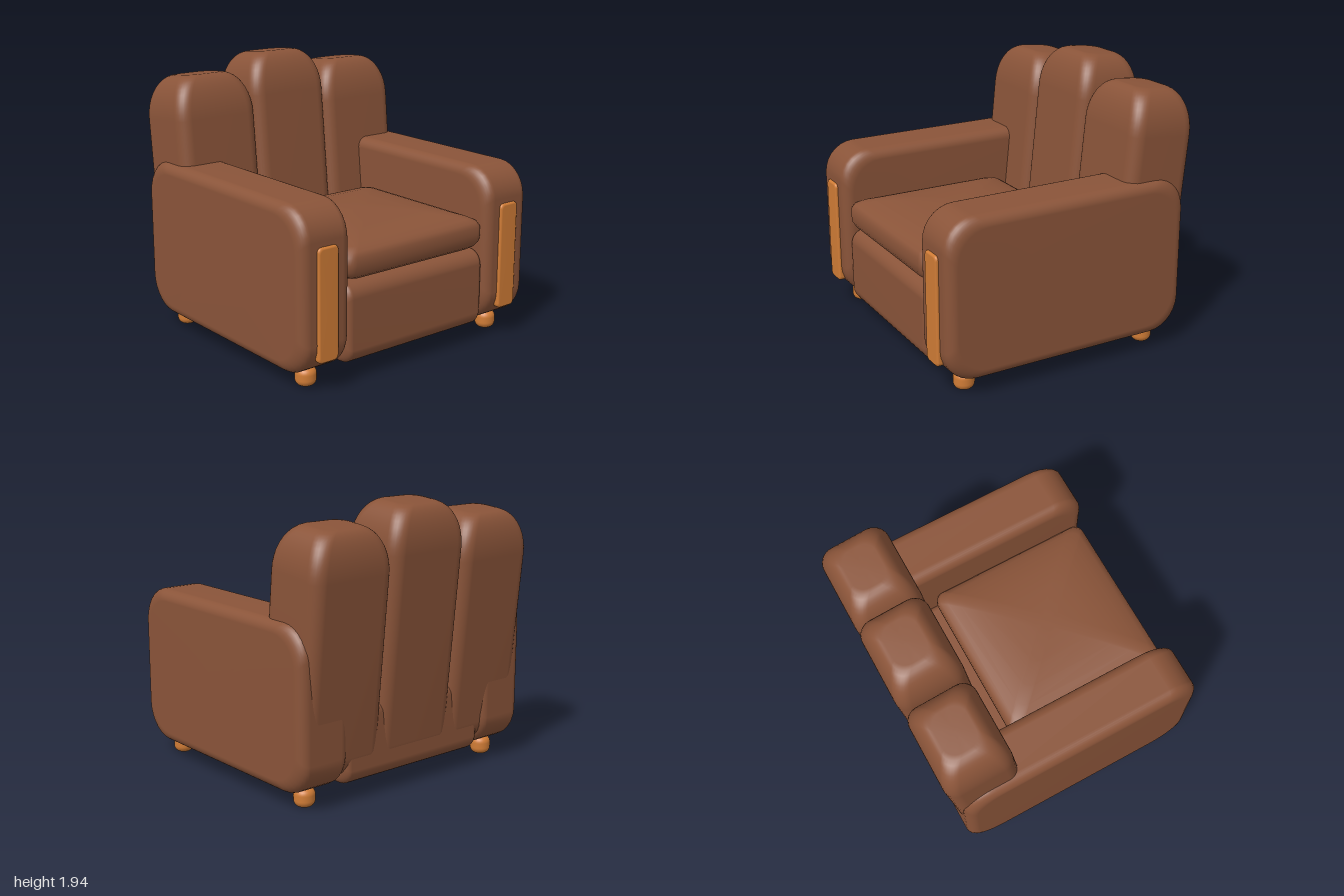
import * as THREE from 'three';

// Stack of rounded rectangles along y. Each section is [y, insetX, insetZ].
function softBlock(width, depth, corner, sections) {
  const steps = 7, ring = 4 * (steps + 1), pos = [], index = [];
  for (const [y, ix, iz] of sections) {
    const hx = width / 2 - ix, hz = depth / 2 - iz;
    const r = Math.min(corner, hx, hz);
    for (let q = 0; q < 4; q++) {
      const sx = q === 0 || q === 3 ? 1 : -1, sz = q < 2 ? 1 : -1;
      for (let s = 0; s <= steps; s++) {
        const a = (q + s / steps) * Math.PI / 2;
        pos.push(sx * (hx - r) + r * Math.cos(a), y, sz * (hz - r) + r * Math.sin(a));
      }
    }
  }
  const last = sections.length - 1, low = sections.length * ring, high = low + 1;
  pos.push(0, sections[0][0], 0, 0, sections[last][0], 0);
  for (let i = 0; i < ring; i++) {
    const j = (i + 1) % ring;
    for (let k = 0; k < last; k++) {
      const a = k * ring + i, b = k * ring + j;
      index.push(a, a + ring, b, b, a + ring, b + ring);
    }
    index.push(low, i, j, high, last * ring + j, last * ring + i);
  }
  const g = new THREE.BufferGeometry();
  g.setAttribute('position', new THREE.Float32BufferAttribute(pos, 3));
  g.setIndex(index);
  g.computeVertexNormals();
  return g;
}

// Sections with elliptical rounding at both ends; each end is [height, insetX, insetZ].
function roundedEnds(h, bottom, top, n = 8) {
  const out = [];
  for (let i = 0; i <= n; i++) {
    const a = (i / n) * Math.PI / 2, k = 1 - Math.sin(a);
    out.push([bottom[0] * (1 - Math.cos(a)), bottom[1] * k, bottom[2] * k]);
  }
  for (let i = n; i >= 0; i--) {
    const a = (i / n) * Math.PI / 2, k = 1 - Math.sin(a);
    out.push([h - top[0] * (1 - Math.cos(a)), top[1] * k, top[2] * k]);
  }
  return out;
}

export function createModel() {
  const model = new THREE.Group();
  const leather = new THREE.MeshStandardMaterial({ color: 0x8a5439 });
  leather.name = 'brown leather';
  const wood = new THREE.MeshStandardMaterial({ color: 0xd07c36 });
  wood.name = 'orange wood';

  const add = (name, geometry, material, x, y, z) => {
    const mesh = new THREE.Mesh(geometry, material);
    mesh.name = name;
    mesh.position.set(x, y, z);
    model.add(mesh);
    return mesh;
  };

  // Base under the seat, lofted sideways
  const baseEnd = [0.05, 0.05, 0.05];
  const base = softBlock(0.55, 1.76, 0.1, roundedEnds(1.22, baseEnd, baseEnd));
  base.rotateZ(-Math.PI / 2);
  add('base', base, leather, -0.61, 0.39, 0.04);

  // Crowned seat cushion
  const seat = softBlock(1.21, 1.23, 0.07, [
    [0.66, 0.17, 0.17], [0.664, 0.11, 0.11], [0.68, 0.06, 0.06], [0.705, 0.025, 0.025],
    [0.74, 0.005, 0.005], [0.79, 0, 0], [0.84, 0.003, 0.003], [0.872, 0.02, 0.02],
    [0.895, 0.06, 0.06], [0.918, 0.13, 0.13], [0.938, 0.23, 0.23], [0.951, 0.36, 0.36],
    [0.957, 0.52, 0.52],
  ]);
  add('seatCushion', seat, leather, 0, 0, 0.31);

  // Three leaning back cushions
  for (const [name, x, h] of [['backCushionRight', -0.63, 1.625],
    ['backCushionCentre', 0, 1.735], ['backCushionLeft', 0.63, 1.625]]) {
    const g = softBlock(0.64, 0.5, 0.09,
      roundedEnds(h, [0.14, 0.1, 0.1], [0.3, 0.17, 0.13], 10));
    add(name, g, leather, x, 0.2, -0.58).rotation.x = -0.097;
  }

  // Arms, lofted sideways
  const armEnd = [0.075, 0.075, 0.075];
  const arm = softBlock(1.115, 1.82, 0.22, roundedEnds(0.4, armEnd, armEnd));
  arm.rotateZ(-Math.PI / 2);
  arm.translate(-0.2, 0, 0);

  // Wooden strip on the arm front
  const strip = softBlock(0.16, 0.76, 0.03,
    roundedEnds(0.05, [0.01, 0.005, 0.005], [0.015, 0.015, 0.015], 4));
  strip.rotateX(Math.PI / 2);

  // Round foot
  const profile = [new THREE.Vector2(0, 0)];
  for (let i = 0; i <= 8; i++) {
    const a = (i / 8) * Math.PI / 2;
    profile.push(new THREE.Vector2(0.025 + 0.047 * Math.sin(a), 0.047 * (1 - Math.cos(a))));
  }
  for (let i = 8; i >= 0; i--) {
    const a = (i / 8) * Math.PI / 2;
    profile.push(new THREE.Vector2(0.025 + 0.047 * Math.sin(a), 0.13 - 0.047 * (1 - Math.cos(a))));
  }
  profile.push(new THREE.Vector2(0, 0.13));
  const foot = new THREE.LatheGeometry(profile, 28);

  for (const [side, s] of [['Left', 1], ['Right', -1]]) {
    add('arm' + side, arm, leather, s * 0.8, 0.675, 0.04);
    add('armStrip' + side, strip, wood, s * 0.8, 0.6, 0.92);
    add('frontFoot' + side, foot, wood, s * 0.82, 0, 0.75);
    add('backFoot' + side, foot, wood, s * 0.82, 0, -0.67);
  }
  return model;
}
